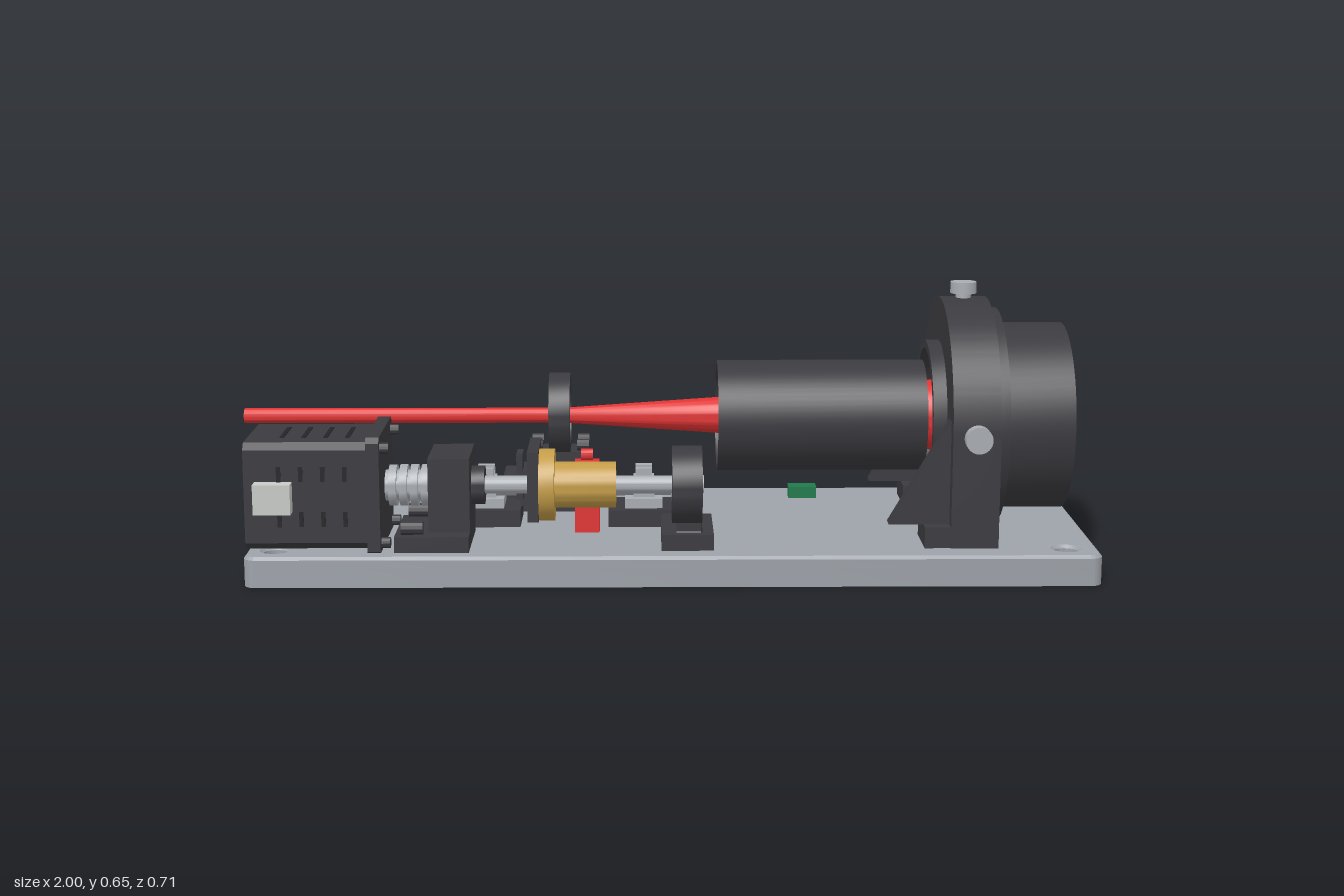
import * as THREE from 'three';
import { toCreasedNormals } from 'three/addons/utils/BufferGeometryUtils.js';

const mat = (name, color) => Object.assign(new THREE.MeshStandardMaterial({ color }), { name });

export function createModel() {
  const root = new THREE.Group();
  root.name = 'opticalBench';
  const plateGrey = mat('plateGrey', 0x9ea3aa), dark = mat('anodisedBlack', 0x3b3a3f), red = mat('beamRed', 0xe03434);
  const glass = mat('glassBlue', 0x78a8cc), brass = mat('brass', 0xc39c48), steel = mat('steel', 0xa9adb2);
  const green = mat('green', 0x1f7a4c), yellow = mat('yellow', 0xd0c830), white = mat('connectorWhite', 0xc8cbc8);
  const black = mat('ventBlack', 0x252428);

  const add = (name, geo, m, x = 0, y = 0, z = 0, parent = root) => {
    const mesh = new THREE.Mesh(geo, m);
    mesh.name = name;
    mesh.position.set(x, y, z);
    parent.add(mesh);
    return mesh;
  };
  // box given by its min and max on each axis
  const box = (name, m, x0, x1, y0, y1, z0, z1, parent) =>
    add(name, new THREE.BoxGeometry(x1 - x0, y1 - y0, z1 - z0), m, (x0 + x1) / 2, (y0 + y1) / 2, (z0 + z1) / 2, parent);
  // turned part along x, profile of [radius, x] points
  const turned = (name, m, pts, y, z, seg = 64, parent = root) => {
    const g = new THREE.LatheGeometry(pts.map(p => new THREE.Vector2(...p)), seg);
    g.rotateZ(-Math.PI / 2);
    return add(name, toCreasedNormals(g, 0.5), m, 0, y, z, parent);
  };
  const rod = (name, m, r, x0, x1, y, z, seg = 32) => turned(name, m, [[0, x0], [r, x0], [r, x1], [0, x1]], y, z, seg);
  const ring = (name, m, r, ri, x0, x1, y, z) =>
    turned(name, m, [[ri, x0], [r, x0], [r, x1], [ri, x1], [ri, x0]], y, z);
  const circle = (x, y, r) => new THREE.Path().absarc(x, y, r, 0, Math.PI * 2, true);
  // shape in the z-y plane extruded along x
  const extrudeX = (name, m, shape, x0, x1) => {
    const g = new THREE.ExtrudeGeometry(shape, { depth: x1 - x0, bevelEnabled: false, curveSegments: 48 });
    g.rotateY(Math.PI / 2);
    return add(name, toCreasedNormals(g, 0.5), m, x0);
  };

  // Base plate: rounded corners, counterbored holes, chamfered top edge
  const plateLayer = (name, holeR, y0, y1, bevel) => {
    const s = new THREE.Shape(), x0 = -0.955, x1 = 1, d = 0.355, r = 0.03;
    s.absarc(x1 - r, d - r, r, 0, Math.PI / 2);
    s.absarc(x0 + r, d - r, r, Math.PI / 2, Math.PI);
    s.absarc(x0 + r, r - d, r, Math.PI, Math.PI * 1.5);
    s.absarc(x1 - r, r - d, r, Math.PI * 1.5, Math.PI * 2);
    for (const x of [-0.89, 0.925]) for (const z of [-0.285, 0.285]) s.holes.push(circle(x, z, holeR));
    const g = new THREE.ExtrudeGeometry(s, {
      depth: y1 - y0 - 2 * bevel, bevelEnabled: bevel > 0, bevelThickness: bevel, bevelSize: bevel,
      bevelOffset: -bevel, bevelSegments: 1, curveSegments: 12,
    });
    g.rotateX(-Math.PI / 2);
    add(name, toCreasedNormals(g, 0.5), plateGrey, 0, y0 + bevel);
  };
  plateLayer('basePlateLower', 0.015, 0, 0.045, 0);
  plateLayer('basePlateMiddle', 0.028, 0.045, 0.062, 0);
  plateLayer('basePlateTop', 0.028, 0.05, 0.071, 0.007);

  // Laser beam: thin, then widening through the tube
  const Y = 0.33;
  rod('narrowBeam', red, 0.018, -1, -0.235, Y, 0);
  turned('wideningBeam', red, [[0, -0.235], [0.018, -0.235], [0.043, 0.13], [0.09, 0.72], [0, 0.72]], Y, 0);

  // Large lens holder
  ring('beamTube', dark, 0.132, 0.122, 0.13, 0.622, Y, 0);
  ring('rearRing', dark, 0.18, 0.16, 0.628, 0.662, Y, 0);
  const arch = (r, hole) => {
    const s = new THREE.Shape();
    s.moveTo(-r, 0.071);
    s.lineTo(r, 0.071);
    s.lineTo(r, Y);
    s.absarc(0, Y, r, 0, Math.PI);
    s.lineTo(-r, 0.071);
    s.holes.push(circle(0, Y, hole));
    return s;
  };
  extrudeX('lensHousing', dark, arch(0.284, 0.17), 0.66, 0.77);
  ring('housingStep', dark, 0.258, 0.17, 0.765, 0.795, Y, 0);
  turned('lensHood', dark, [[0.142, 0.74], [0.222, 0.76], [0.222, 0.952], [0.178, 0.952], [0.178, 0.79],
    [0.142, 0.78], [0.142, 0.74]], Y, 0);
  rod('largeLens', glass, 0.171, 0.722, 0.75, Y, 0, 64);

  // Gussets, feet and thumb screws of the holder
  const tri = new THREE.Shape([[0.52, 0.12], [0.665, 0.12], [0.665, 0.37]].map(p => new THREE.Vector2(...p)));
  const thumbScrew = (name, y, z, rx) => {
    const g = new THREE.Group();
    g.name = name;
    g.position.set(0.715, y, z);
    g.rotation.x = rx;
    add('screwStem', new THREE.CylinderGeometry(0.018, 0.018, 0.04, 24), steel, 0, 0.005, 0, g);
    add('screwHead', new THREE.CylinderGeometry(0.031, 0.031, 0.027, 32), steel, 0, 0.026, 0, g);
    root.add(g);
  };
  for (const s of [-1, 1]) {
    add('gusset', new THREE.ExtrudeGeometry(tri, { depth: 0.04, bevelEnabled: false }), dark, 0, 0, s * 0.23 - 0.02);
    box('holderFoot', dark, 0.6, 0.67, 0.071, 0.12, s * 0.217 - 0.065, s * 0.217 + 0.065);
    thumbScrew('sideScrew', Y, s * 0.281, s * Math.PI / 2);
  }
  thumbScrew('topScrew', 0.612, 0, 0);

  // Stepper motor with chamfered edges, flange, vents and connector
  const AY = 0.2, AZ = 0.18;
  const chamfered = (h, c) => {
    const pts = [[h, c - h], [h, h - c], [h - c, h], [c - h, h], [-h, h - c], [-h, c - h], [c - h, -h], [h - c, -h]];
    return new THREE.Shape(pts.map(([a, b]) => new THREE.Vector2(a - AZ, b + AY)));
  };
  extrudeX('motorBody', dark, chamfered(0.124, 0.016), -0.955, -0.67);
  extrudeX('motorFlange', dark, chamfered(0.138, 0.012), -0.675, -0.645);
  for (let i = 0; i < 4; i++) {
    const x = -0.88 + i * 0.05;
    box('topVent', black, x, x + 0.01, 0.322, 0.326, 0.12, 0.24);
    for (const y of [0.13, 0.235]) {
      box('leftVent', black, x, x + 0.01, y, y + 0.035, 0.302, 0.306);
      box('rightVent', black, x, x + 0.01, y, y + 0.035, 0.054, 0.058);
    }
  }
  box('motorConnector', white, -0.93, -0.845, 0.165, 0.235, 0.3, 0.338);
  for (const y of [0.09, 0.31]) for (const z of [0.07, 0.29]) rod('flangeBolt', dark, 0.013, -0.65, -0.625, y, z, 12);

  // Coupling and drive screw
  for (let i = 0; i < 4; i++) rod('couplingDisc', steel, 0.048, -0.636 + i * 0.025, -0.618 + i * 0.025, AY, AZ);
  rod('couplingCore', steel, 0.036, -0.645, -0.53, AY, AZ);
  rod('driveScrew', steel, 0.021, -0.54, 0.095, AY, AZ, 24);

  // Fixed bearing block
  box('bearingBlock', dark, -0.54, -0.445, 0.1, 0.28, 0.095, 0.27);
  box('bearingFoot', dark, -0.615, -0.445, 0.071, 0.108, 0.095, 0.315);
  rod('bearingCollar', dark, 0.045, -0.45, -0.415, AY, AZ);
  for (const z of [0.115, 0.295]) rod('bearingBolt', dark, 0.016, -0.6, -0.55, 0.125, z, 12);

  // Brass nut and its bracket
  rod('nutFlange', brass, 0.084, -0.288, -0.252, AY, AZ, 48);
  rod('nutBody', brass, 0.054, -0.255, -0.11, AY, AZ, 48);
  box('nutBracket', dark, -0.315, -0.289, 0.12, 0.285, 0.05, 0.225);
  box('bracketTab', dark, -0.345, -0.33, 0.15, 0.26, 0.06, 0.125);
  box('bracketArm', dark, -0.345, -0.29, 0.19, 0.22, 0.06, 0.125);

  // End bearing wheel on an open U-shaped foot
  ring('endBearing', dark, 0.09, 0.045, 0.02, 0.09, AY, AZ);
  ring('endBearingRace', steel, 0.046, 0.02, 0.03, 0.08, AY, AZ);
  for (const z of [0.09, 0.275]) box('endFootSide', dark, -0.005, 0.115, 0.071, 0.108, z, z + 0.025);
  box('endFootBack', dark, -0.005, 0.03, 0.071, 0.108, 0.09, 0.3);
  box('endFootFront', dark, 0.09, 0.115, 0.071, 0.108, 0.09, 0.3);

  // Guide rail with two clamp supports
  rod('guideRod', steel, 0.022, -0.49, 0.02, 0.155, 0, 24);
  for (const x of [-0.425, -0.045]) {
    box('railFoot', dark, x - 0.085, x + 0.085, 0.071, 0.112, -0.07, 0.07);
    box('clampBase', steel, x - 0.045, x + 0.045, 0.11, 0.135, -0.05, 0.05);
    box('clampBlock', steel, x - 0.025, x + 0.025, 0.13, 0.18, -0.032, 0.032);
    for (const z of [-0.022, 0.022]) box('clampEar', steel, x - 0.02, x + 0.02, 0.175, 0.205, z - 0.01, z + 0.01);
  }

  // Sliding carriage and small lens
  box('carriage', dark, -0.34, -0.14, 0.12, 0.2, -0.075, 0.06);
  box('carriageTop', dark, -0.31, -0.18, 0.2, 0.25, -0.05, 0.05);
  for (const x of [-0.3, -0.19]) for (const z of [-0.035, 0.035]) rod('carriageBolt', dark, 0.014, x - 0.014, x + 0.014, 0.265, z, 12);
  ring('smallLensRing', dark, 0.097, 0.072, -0.27, -0.22, 0.335, 0);
  rod('smallLens', glass, 0.073, -0.252, -0.238, 0.335, 0, 48);

  // Sensor blocks, yellow sensor, red flag and green part
  box('sensorBlock', dark, -0.388, -0.275, 0.071, 0.165, -0.195, -0.09);
  box('sensorBlock', dark, -0.262, -0.155, 0.071, 0.165, -0.195, -0.09);
  box('sensorArm', dark, -0.265, -0.225, 0.16, 0.185, -0.15, -0.05);
  box('yellowSensor', yellow, -0.275, -0.22, 0.185, 0.21, -0.152, -0.102);
  box('redPost', red, -0.208, -0.15, 0.071, 0.24, 0.075, 0.122);
  rod('redPin', red, 0.014, -0.193, -0.165, 0.255, 0.1, 16);
  box('greenBlock', green, 0.32, 0.39, 0.071, 0.1, -0.277, -0.232);
  return root;
}
